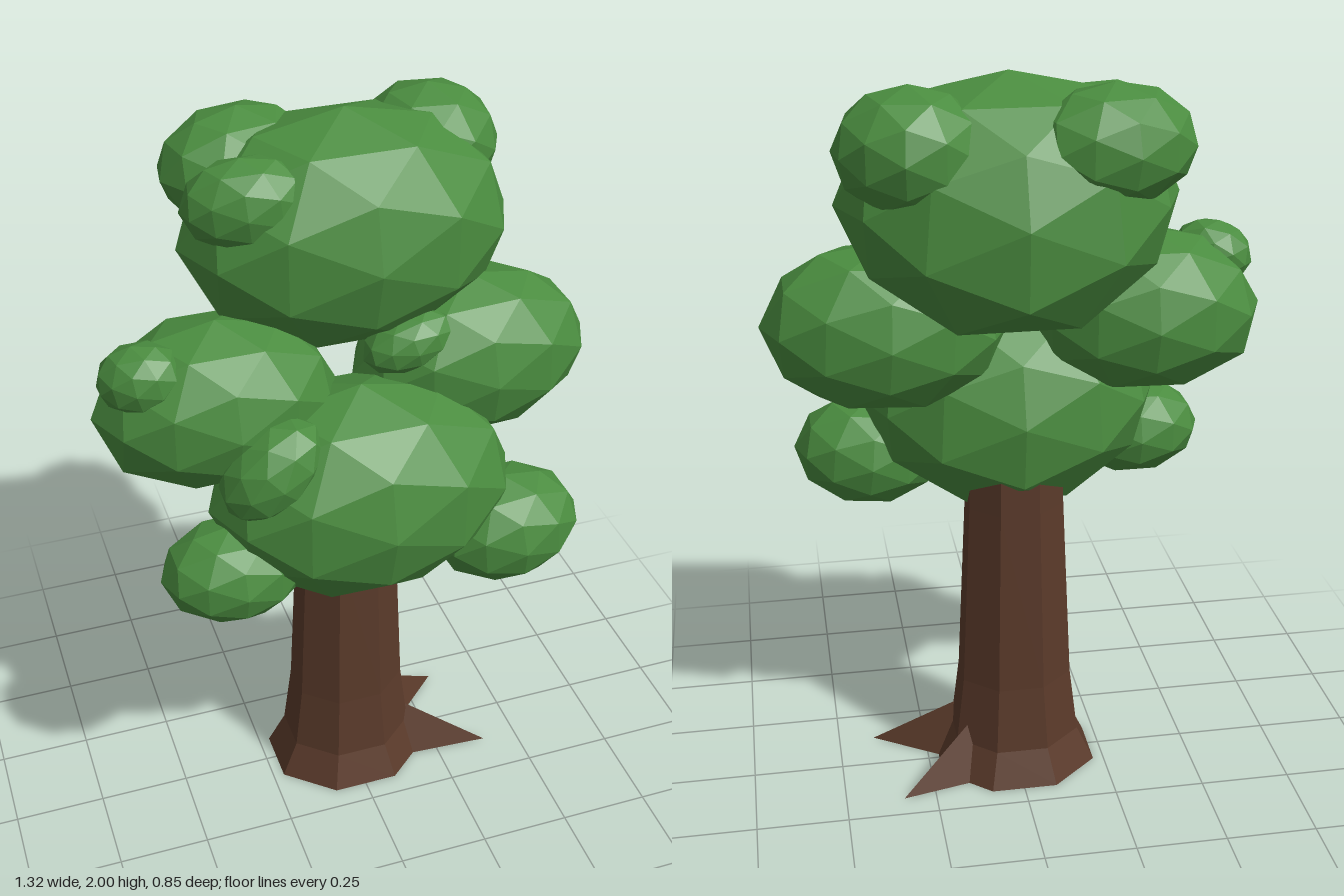
import * as THREE from 'three';
import { ConvexGeometry } from 'three/addons/geometries/ConvexGeometry.js';

const leafMat = new THREE.MeshStandardMaterial({ color: 0x4a8c3f, flatShading: true });
const barkMat = new THREE.MeshStandardMaterial({ color: 0x5a3a2a, flatShading: true, side: THREE.DoubleSide });

// Foliage clumps: name, centre, radii, rotation, optional bulge (direction and strength)
const CLUMPS = [
  ['lowerCrown', [-0.01, 1.08, 0.148], [0.405, 0.3, 0.28], [0, 0, 0], [0, -0.6, -0.8], 0.13],
  ['leftCrown', [0.335, 1.335, 0.005], [0.32, 0.225, 0.212], [0, 0, 0.05]],
  ['rightCrown', [-0.345, 1.34, 0.03], [0.305, 0.22, 0.225], [0, 0, 0], [-0.85, -0.5, 0], 0.1],
  ['topCrown', [0.03, 1.69, -0.105], [0.43, 0.31, 0.295], [0, 0, 0], [0, -0.65, -0.76], 0.22],
  ['lowerRightClump', [-0.37, 0.93, 0.2], [0.19, 0.135, 0.145], [0, 0, 0]],
  ['lowerLeftClump', [0.375, 0.905, 0.21], [0.205, 0.155, 0.16], [0, 0, 0.1]],
  ['topRightClump', [-0.205, 1.838, -0.22], [0.21, 0.15, 0.16], [0, 0.2, 0]],
  ['topLeftClump', [0.28, 1.838, -0.2], [0.185, 0.155, 0.17], [0, -0.15, 0]],
  ['topFrontTuft', [-0.245, 1.835, -0.01], [0.16, 0.115, 0.105], [0, -0.2, 0.1]],
  ['rightTuft', [-0.545, 1.465, 0.08], [0.11, 0.09, 0.09], [0, -0.3, 0.2]],
  ['lowerTuft', [-0.27, 1.24, 0.235], [0.155, 0.105, 0.11], [0, 0, 0.75]],
  ['leftTuft', [0.135, 1.445, 0.09], [0.125, 0.075, 0.08], [0, 0, 0.3]],
];

// Trunk profile, open at the ground: radius, height
const TRUNK = [[0.238, 0], [0.188, 0.1], [0.164, 0.29], [0.139, 0.82], [0.13, 1.05], [0, 1.05]];

// Faceted unit ball whose vertices are pushed out around one direction
function clumpGeometry(bulge, strength) {
  const geometry = new THREE.IcosahedronGeometry(1, 1);
  if (!bulge) return geometry;
  const dir = new THREE.Vector3(...bulge).normalize();
  const pos = geometry.attributes.position;
  const v = new THREE.Vector3();
  for (let i = 0; i < pos.count; i++) {
    v.fromBufferAttribute(pos, i);
    v.multiplyScalar(1 + strength * Math.max(0, v.dot(dir)) ** 4);
    pos.setXYZ(i, v.x, v.y, v.z);
  }
  geometry.computeVertexNormals();
  return geometry;
}

// Root wedge: a narrow pyramid running from inside the trunk to a ground tip
function root(tipX, tipZ, halfWidth, height) {
  const tip = new THREE.Vector3(tipX, 0, tipZ);
  const dir = tip.clone().normalize();
  const side = new THREE.Vector3(-dir.z, 0, dir.x).multiplyScalar(halfWidth);
  const heel = dir.clone().multiplyScalar(0.13);
  return new ConvexGeometry([
    tip,
    heel.clone().add(side),
    heel.clone().sub(side),
    heel.clone().setY(height),
  ]);
}

export function createModel() {
  const tree = new THREE.Group();
  tree.name = 'tree';
  const add = (name, geometry, material, parent) => {
    const mesh = new THREE.Mesh(geometry, material);
    mesh.name = name;
    parent.add(mesh);
    return mesh;
  };

  // Flared eight-sided trunk, slightly shallower than wide
  const profile = TRUNK.map(([r, y]) => new THREE.Vector2(r, y));
  const trunk = add('trunk', new THREE.LatheGeometry(profile, 8, Math.PI / 8), barkMat, tree);
  trunk.scale.z = 0.86;

  // Two pointed roots on one side
  add('frontRoot', root(0.4, 0.13, 0.075, 0.18), barkMat, tree);
  add('backRoot', root(0.34, -0.18, 0.07, 0.18), barkMat, tree);

  // Faceted foliage
  const foliage = new THREE.Group();
  foliage.name = 'foliage';
  tree.add(foliage);
  for (const [name, centre, radii, rotation, bulge, strength] of CLUMPS) {
    const clump = add(name, clumpGeometry(bulge, strength), leafMat, foliage);
    clump.position.set(...centre);
    clump.scale.set(...radii);
    clump.rotation.set(...rotation);
  }
  return tree;
}
